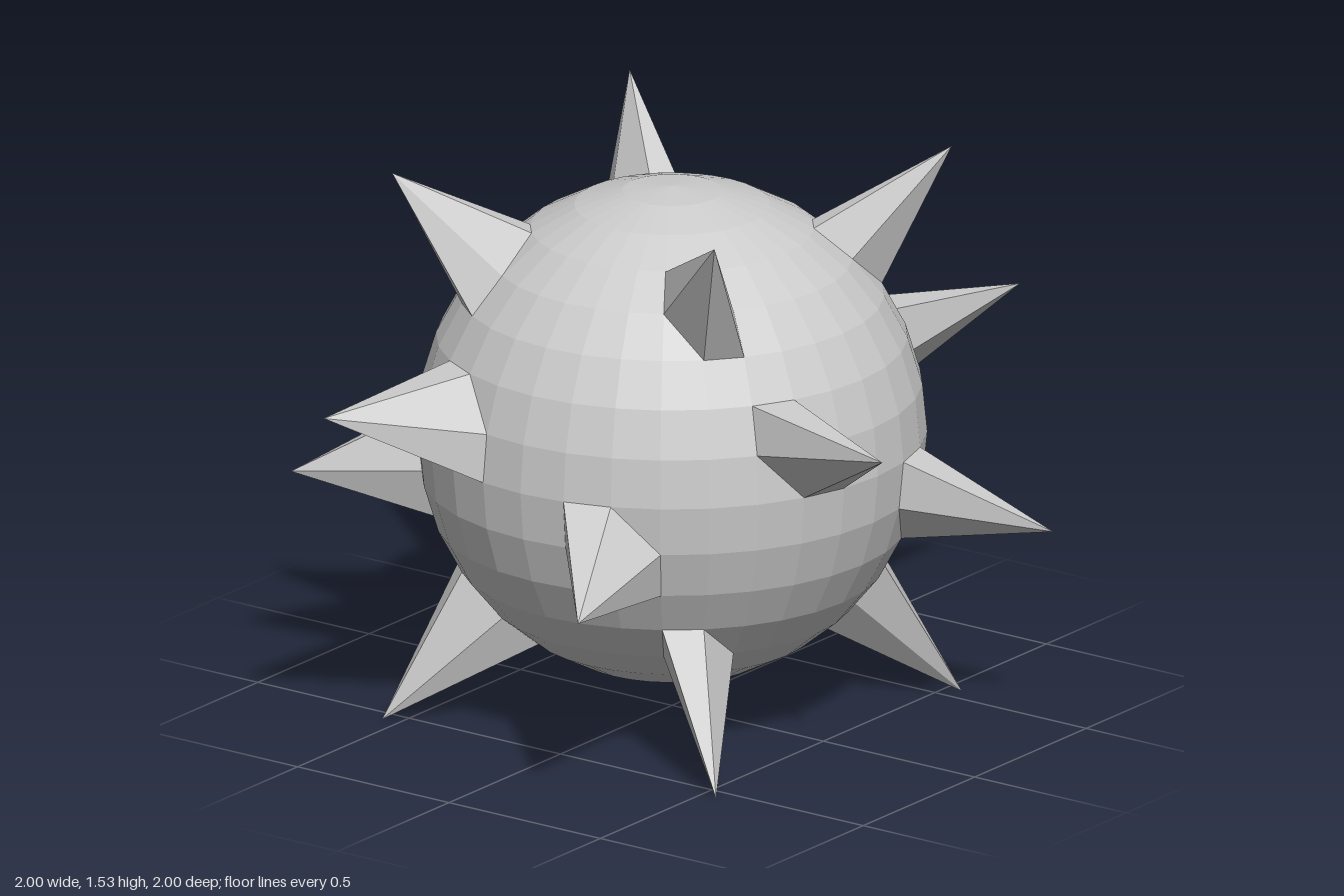
import * as THREE from 'three';

const R = 0.68, CENTRE_Y = 0.78, COLS = 32, ROWS = 16;
const LONG = 1.1036, SHORT = 1.065;

// One ring of four spikes each: row and first column of the sphere grid, tip radius
const SPIKE_RINGS = [
  { row: 4, col: 4, tip: SHORT },   // upper diagonals
  { row: 7, col: 6, tip: LONG },    // just above the equator
  { row: 9, col: 2, tip: SHORT },   // just below the equator
  { row: 12, col: 4, tip: LONG },   // lower diagonals
];

export function createModel() {
  const group = new THREE.Group();
  group.name = 'spikedBall';

  // Faceted ball whose chosen grid points are pulled outward into spikes
  const sphere = new THREE.SphereGeometry(R, COLS, ROWS);
  const pos = sphere.attributes.position;
  const v = new THREE.Vector3();
  for (const { row, col, tip } of SPIKE_RINGS) {
    for (let k = 0; k < 4; k++) {
      const i = row * (COLS + 1) + col + k * (COLS / 4);
      v.fromBufferAttribute(pos, i).setLength(tip);
      pos.setXYZ(i, v.x, v.y, v.z);
    }
  }
  const geometry = sphere.toNonIndexed();
  geometry.computeVertexNormals();

  const material = new THREE.MeshStandardMaterial({ color: 0xcccccc, flatShading: true });
  const ball = new THREE.Mesh(geometry, material);
  ball.name = 'ballWithSpikes';
  ball.position.y = CENTRE_Y;
  group.add(ball);
  return group;
}
